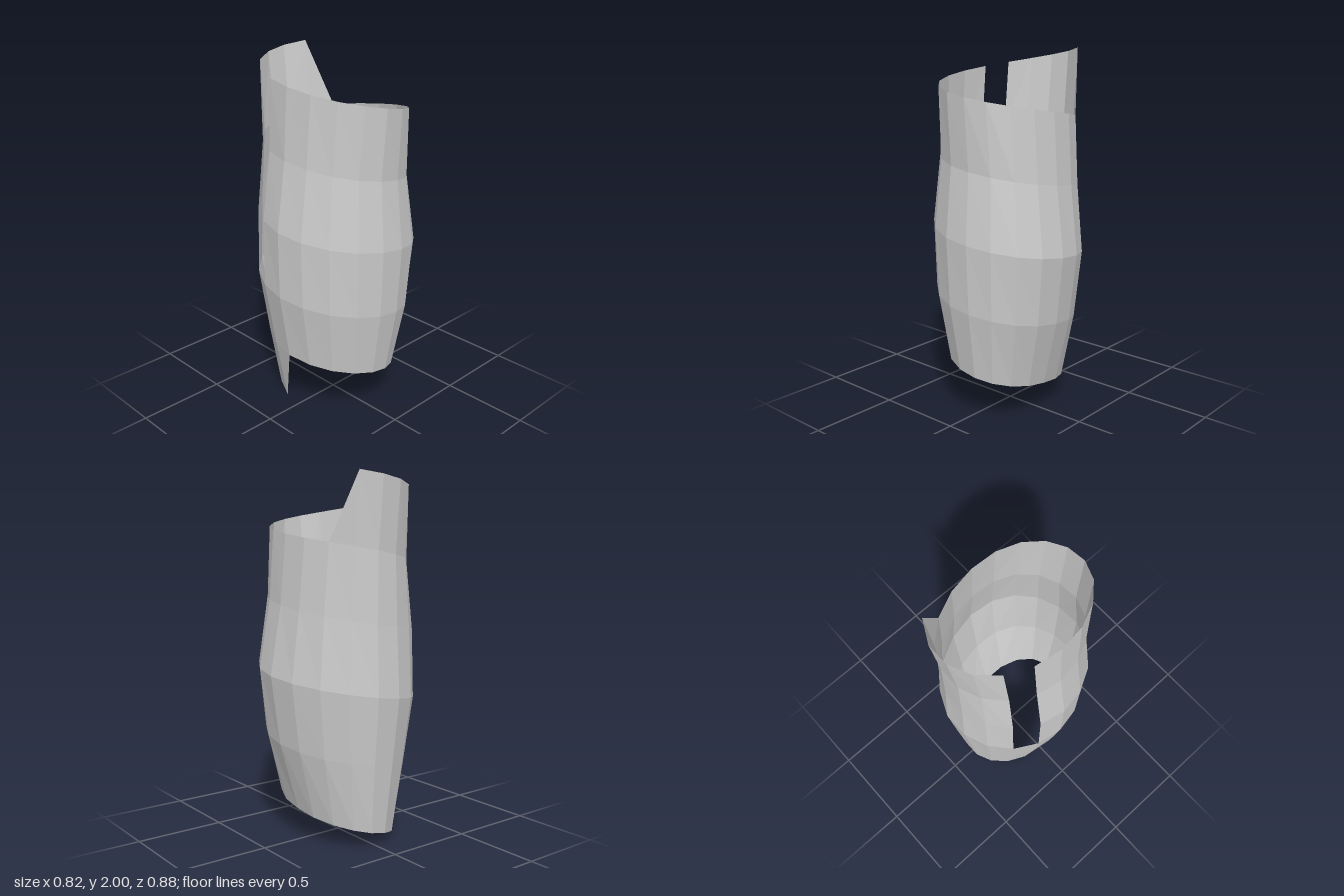
import * as THREE from 'three';

// Values at every half turn, read with straight blending in between
function sample(list, u) {
  const f = Math.min(Math.max(u, 0), list.length - 1.001);
  const i = Math.floor(f);
  return THREE.MathUtils.lerp(list[i], list[i + 1], f - i);
}

// A faceted barrel sleeve: one helical band whose turns join edge to edge
function sleeveGeometry() {
  const perTurn = 18, last = 95;
  const startAngle = THREE.MathUtils.degToRad(-29);
  const halfWidth = [0.33, 0.33, 0.325, 0.355, 0.355, 0.412, 0.412, 0.41, 0.365, 0.35, 0.265, 0.28, 0.28]; // from turn -0.25
  const halfDepth = [0.46, 0.45, 0.435, 0.415, 0.41, 0.42, 0.447, 0.44, 0.43, 0.4, 0.37, 0.36, 0.36]; // from turn -0.5

  const positions = [];
  for (let k = 0; k <= last; k++) {
    const angle = startAngle + (k / perTurn) * Math.PI * 2;
    const turn = angle / (Math.PI * 2);
    const x = -sample(halfWidth, (turn + 0.25) * 2) * Math.sin(angle);
    const z = -sample(halfDepth, (turn + 0.5) * 2) * Math.cos(angle);
    // the left side bulges slightly towards the front
    positions.push(x, 2 - (2 * k) / last, z + 0.36 * Math.max(0, x) ** 2);
  }

  const index = [];
  // slanted step where the band starts
  index.push(perTurn - 1, perTurn, 0);
  for (let k = 0; k + perTurn + 1 <= last; k++) {
    // open slot running down three rows at the back
    if (k % perTurn === 4 && k < 3 * perTurn) continue;
    index.push(k, k + perTurn, k + perTurn + 1, k, k + perTurn + 1, k + 1);
  }
  // slanted step where the band ends
  index.push(last - perTurn, last, last - perTurn + 1);

  const geometry = new THREE.BufferGeometry();
  geometry.setAttribute('position', new THREE.Float32BufferAttribute(positions, 3));
  geometry.setIndex(index);
  const faceted = geometry.toNonIndexed();
  faceted.computeVertexNormals();
  return faceted;
}

export function createModel() {
  const group = new THREE.Group();
  group.name = 'wrappedSleeve';
  const material = new THREE.MeshStandardMaterial({
    color: 0xcccccc, flatShading: true, side: THREE.DoubleSide,
  });
  const sleeve = new THREE.Mesh(sleeveGeometry(), material);
  sleeve.name = 'sleeve';
  group.add(sleeve);
  return group;
}
